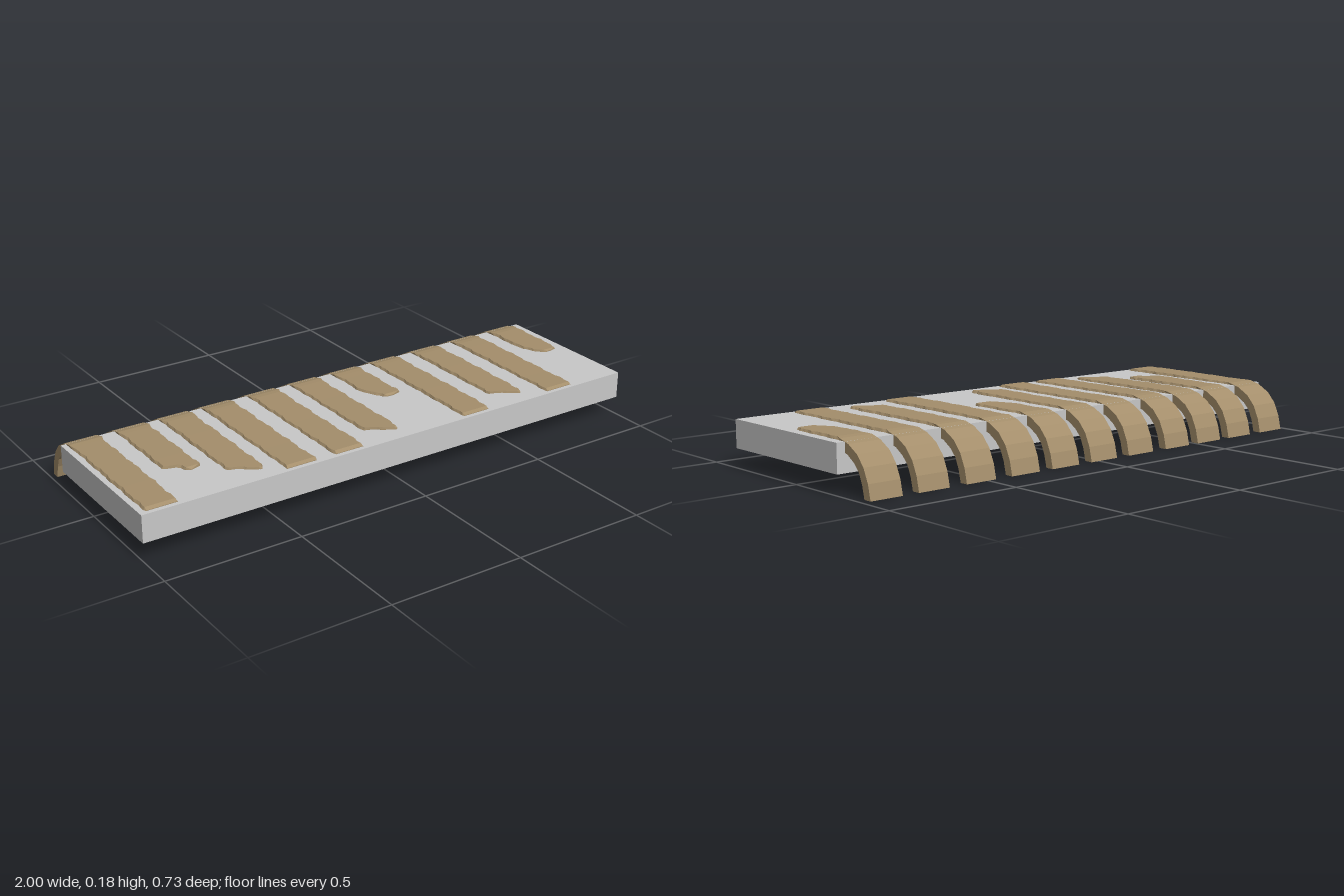
import * as THREE from 'three';

const slabMat = new THREE.MeshStandardMaterial({ name: 'light grey stone', color: 0xc8c8c8 });
const plankMat = new THREE.MeshStandardMaterial({ name: 'tan wood', color: 0xa48e6b, flatShading: true });

const WIDTH = 0.123;

// Curled tail of every plank: outer z, outer y, inner z, inner y
const TAIL = [
  [-0.363, 0, -0.331, 0],
  [-0.351, 0.052, -0.32, 0.045],
  [-0.329, 0.1, -0.305, 0.08],
  [-0.296, 0.137, -0.28, 0.107],
  [-0.25, 0.163, -0.245, 0.129],
  [-0.205, 0.175, -0.205, 0.14],
];

// Torn front ends: distance before the tip, left inset, right inset
const TORN = {
  blunt: [[0.06, 0, 0], [0.05, 0.012, 0.003], [0.042, 0.04, 0], [0.032, 0.052, 0.002], [0.018, 0.058, 0], [0.01, 0.062, 0.003], [0, 0.074, 0.03]],
  slanted: [[0.07, 0, 0], [0.055, 0.006, 0.002], [0.047, 0.03, 0], [0.036, 0.05, 0.003], [0.026, 0.058, 0], [0.014, 0.076, 0.002], [0.006, 0.09, 0.006], [0, 0.1, 0.012]],
  pointed: [[0.1, 0, 0], [0.075, 0.008, 0.002], [0.06, 0.017, 0], [0.048, 0.02, 0.003], [0.035, 0.024, 0], [0.02, 0.04, 0.002], [0.008, 0.046, 0.003], [0, 0.055, 0.03]],
};

// Left edge x, front end z, kind of torn end
const PLANKS = [
  [-0.981, 0.346], [-0.8, 0.175, 'blunt'], [-0.63, 0.3, 'slanted'], [-0.459, 0.346],
  [-0.27, 0.346], [-0.088, 0.3, 'slanted'], [0.094, 0.058, 'pointed'], [0.275, 0.346],
  [0.467, 0.3, 'slanted'], [0.66, 0.346], [0.846, 0.058, 'pointed'],
];

// Repeatable uneven wear along an edge, from 0 to 1
const wear = (z, seed) => 0.5 + 0.25 * Math.sin(z * 47 + seed * 2.3) + 0.25 * Math.sin(z * 113 + seed * 5.1);

// Six-sided cross-section with worn upper edges
function section(x, [zo, yo, zi, yi], insetL, insetR, worn, seed) {
  const l = x + insetL, r = x + WIDTH - insetR;
  const wl = worn * wear(zo, seed), wr = worn * wear(zo, seed + 9);
  const side = (w) => 0.2 + w * 12;
  const at = (px, t) => [px, yo + (yi - yo) * t, zo + (zi - zo) * t];
  return [
    at(l, 1), at(r, 1),
    at(r - wr * 0.4, side(wr)), at(r - wr - worn * 0.25, 0),
    at(l + wl + worn * 0.25, 0), at(l + wl * 0.4, side(wl)),
  ];
}

// Skin over a run of cross-sections, closed at both ends
function loft(rings) {
  const n = rings[0].length, index = [];
  for (let i = 0; i < rings.length - 1; i++) {
    for (let k = 0; k < n; k++) {
      const a = i * n + k, b = i * n + (k + 1) % n;
      index.push(a, b, b + n, a, b + n, a + n);
    }
  }
  const last = (rings.length - 1) * n;
  for (let k = 1; k < n - 1; k++) {
    index.push(0, k + 1, k, last, last + k, last + k + 1);
  }
  const geo = new THREE.BufferGeometry();
  geo.setAttribute('position', new THREE.Float32BufferAttribute(rings.flat(2), 3));
  geo.setIndex(index);
  const flat = geo.toNonIndexed();
  flat.computeVertexNormals();
  return flat;
}

function makePlank([x, end, kind], seed) {
  const rings = TAIL.map((p) => section(x, p, 0, 0, 0, seed));
  const top = (z) => 0.1765 + 0.001 * Math.sin(z * 9 + seed);
  const add = (z, l, r, y = top(z)) => rings.push(section(x, [z, y, z, 0.143], l, r, 0.01, seed));

  // Straight run lying in the slab
  const stop = kind ? end - TORN[kind][0][0] : end - 0.012;
  const start = -0.18, steps = Math.max(4, Math.round((stop - start) / 0.018));
  for (let i = 0; i < steps; i++) add(start + (stop - start) * i / steps, 0, 0);

  // Torn tip, or a square end with a bevel
  if (kind) TORN[kind].forEach(([d, l, r]) => add(end - d, l, r, d === 0 ? 0.171 : undefined));
  else {
    add(stop, 0, 0);
    add(end, 0, 0, 0.17);
  }
  const plank = new THREE.Mesh(loft(rings), plankMat);
  plank.name = `plank${seed + 1}`;
  return plank;
}

export function createModel() {
  const model = new THREE.Group();
  model.name = 'slabWithCurledPlanks';

  const slab = new THREE.Mesh(new THREE.BoxGeometry(2, 0.1, 0.595), slabMat);
  slab.name = 'slab';
  slab.position.set(0, 0.118, 0.0655);
  model.add(slab);

  const planks = new THREE.Group();
  planks.name = 'planks';
  PLANKS.forEach((p, i) => planks.add(makePlank(p, i)));
  model.add(planks);
  return model;
}
